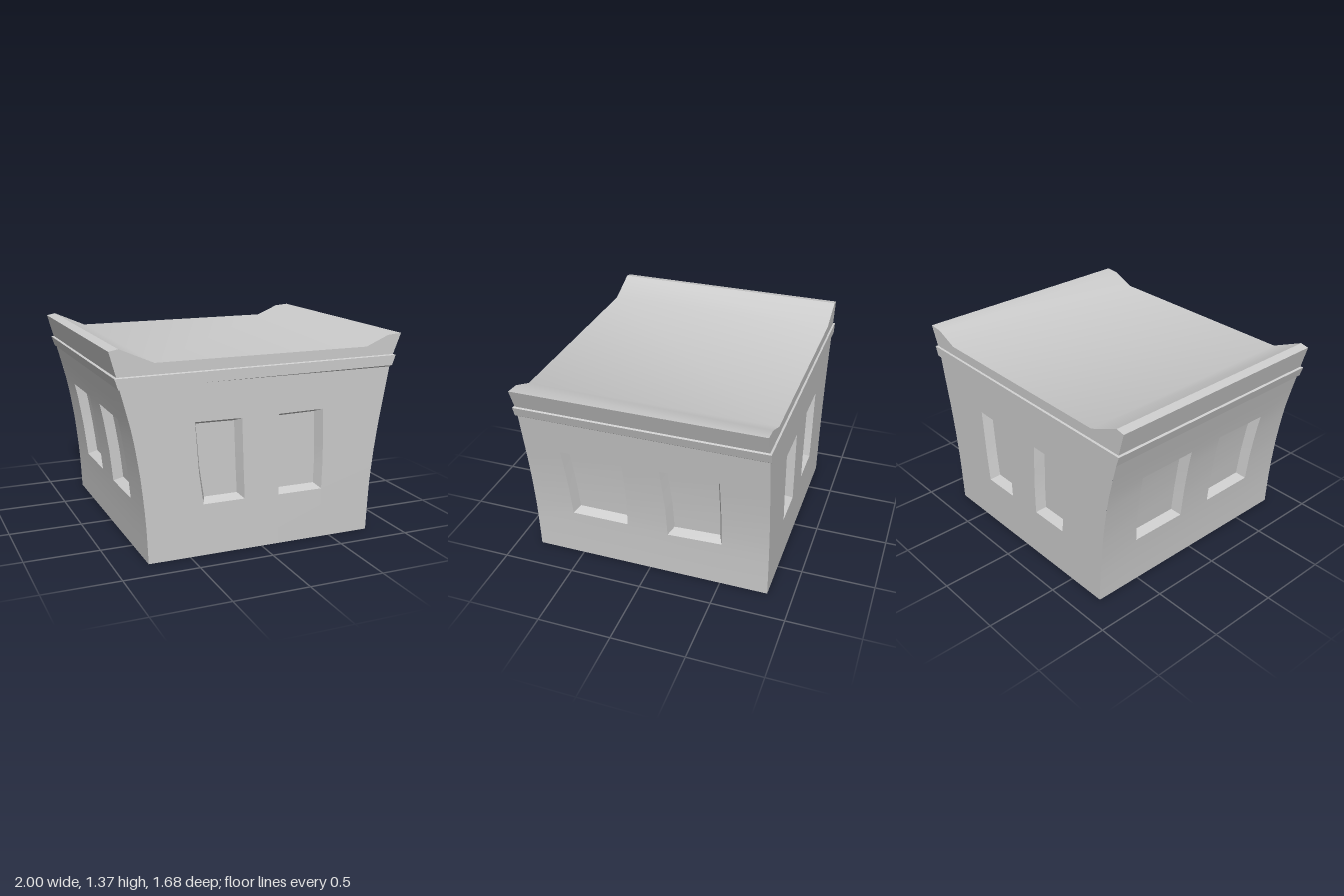
import * as THREE from 'three';
import { toCreasedNormals } from 'three/addons/utils/BufferGeometryUtils.js';

const material = new THREE.MeshStandardMaterial({ color: 0xcccccc, side: THREE.DoubleSide });
const DEPTH = 0.83; // half depth of the building
const WALL_TOP = 1.13;

// Flared side profiles as [y, x]
const RIGHT = [[0, 0.79], [0.2, 0.798], [0.36, 0.807], [0.55, 0.827], [0.75, 0.855], [0.9, 0.882], [WALL_TOP, 0.922]];
const LEFT = [[0, -0.78], [0.2, -0.788], [0.36, -0.8], [0.55, -0.82], [0.75, -0.85], [0.9, -0.88], [WALL_TOP, -0.94]];

// Piecewise linear lookup; each row is [key, ...values]
function sample(rows, key) {
  let i = 0;
  while (i < rows.length - 2 && key > rows[i + 1][0]) i++;
  const a = rows[i], b = rows[i + 1];
  const f = (key - a[0]) / (b[0] - a[0]);
  return a.slice(1).map((v, k) => v + (b[k + 1] - v) * f);
}
const leftX = y => sample(LEFT, y)[0];
const rightX = y => sample(RIGHT, y)[0];

// Collects quads (corners counter-clockwise from outside) into one mesh
function quadMesh(name, quads, crease = 0.5) {
  const pos = [];
  for (const [a, b, c, d] of quads)
    for (const p of [a, b, c, a, c, d]) pos.push(p.x, p.y, p.z);
  const g = new THREE.BufferGeometry();
  g.setAttribute('position', new THREE.Float32BufferAttribute(pos, 3));
  g.computeVertexNormals();
  const mesh = new THREE.Mesh(toCreasedNormals(g, crease), material);
  mesh.name = name;
  return mesh;
}

// Crooked window: [left, right] jambs, each as rows of [t, s, y]
function crookedWindow(l, r, yBottom, yTop) {
  const jamb = (s, k) => [0, 0.4, 1].map((t, i) => [t, s[i], yBottom[k] + (yTop[k] - yBottom[k]) * t]);
  return [jamb(l, 0), jamb(r, 1)];
}

const STEPS = [0, 0.2, 0.4, 0.6, 0.8, 1];

// One wall with two recessed windows. at(s, y, d) places a point, d is depth inwards.
function buildWall(name, at, edgeL, edgeR, windows) {
  const group = new THREE.Group();
  group.name = name;
  const jambs = windows.flat();
  const rowAt = t => {
    const pts = jambs.map(j => sample(j, t));
    const yl = pts[0][1], yr = pts[3][1];
    return [[edgeL(yl), yl], ...pts, [edgeR(yr), yr]];
  };
  const fit = row => { // keeps the outer ends on the flared corners
    row[0][0] = edgeL(row[0][1]);
    row[5][0] = edgeR(row[5][1]);
    return row;
  };
  const rows = [];
  const sill = rowAt(0), head = rowAt(1);
  for (const f of [0, 0.33, 0.67]) rows.push(fit(sill.map(([s, y]) => [s, y * f])));
  for (const t of STEPS) rows.push(rowAt(t));
  for (const f of [0.5, 1]) rows.push(fit(head.map(([s, y]) => [s, y + (WALL_TOP - y) * f])));

  const quads = [];
  for (let r = 0; r < rows.length - 1; r++)
    for (let c = 0; c < 5; c++) {
      const opening = r >= 3 && r < 8 && (c === 1 || c === 3);
      if (opening) continue;
      const a = rows[r], b = rows[r + 1];
      quads.push([a[c], a[c + 1], b[c + 1], b[c]].map(p => at(p[0], p[1], 0)));
    }
  group.add(quadMesh('wallSurface', quads));

  // Recesses: tapering reveals and a set-back pane
  for (const [left, right] of windows) {
    const outer = [], inner = [];
    for (const t of STEPS) {
      const l = sample(left, t), r = sample(right, t);
      const dy = 0.027 * (1 - 2 * t);
      outer.push([at(l[0], l[1], 0), at(r[0], r[1], 0)]);
      inner.push([at(l[0] + 0.028, l[1] + dy, 0.065), at(r[0] - 0.028, r[1] + dy, 0.065)]);
    }
    const reveal = [], pane = [];
    for (let i = 0; i < 5; i++) {
      const [o, p, n, m] = [outer[i], outer[i + 1], inner[i], inner[i + 1]];
      reveal.push([o[0], n[0], m[0], p[0]], [n[1], o[1], p[1], m[1]]);
      pane.push([n[0], n[1], m[1], m[0]]);
    }
    reveal.push([outer[0][0], outer[0][1], inner[0][1], inner[0][0]]);
    reveal.push([inner[5][0], inner[5][1], outer[5][1], outer[5][0]]);
    group.add(quadMesh('windowReveal', reveal), quadMesh('windowPane', pane));
  }
  return group;
}

// Stacked rectangular rings: [left x, right x, half depth, left y, right y]
function ringLoft(name, rings) {
  const corners = ([l, r, z, yl, yr]) => [[l, yl, z], [r, yr, z], [r, yr, -z], [l, yl, -z]].map(p => new THREE.Vector3(...p));
  const quads = [];
  for (let i = 0; i < rings.length - 1; i++) {
    const a = corners(rings[i]), b = corners(rings[i + 1]);
    for (let k = 0; k < 4; k++) quads.push([a[k], a[(k + 1) % 4], b[(k + 1) % 4], b[k]]);
  }
  return quadMesh(name, quads, 0.3);
}

function buildRoof() {
  const group = new THREE.Group();
  group.name = 'roof';
  const top = [[-1, 1.36], [-0.94, 1.372], [-0.72, 1.275], [0.74, 1.275], [0.9, 1.342], [1, 1.35]];
  const base = [[0.945, 1.212], [-0.957, 1.203]];
  const v = ([x, y], z) => new THREE.Vector3(x, y, z);
  const ribbon = (a, b) => [v(a, DEPTH), v(b, DEPTH), v(b, -DEPTH), v(a, -DEPTH)];
  group.add(quadMesh('roofSurface', top.slice(1).map((p, i) => ribbon(top[i], p))));
  group.add(quadMesh('parapetSides', [ribbon(top[5], base[0]), ribbon(base[1], top[0])]));
  // Gable ends
  const outline = new THREE.Shape([...top, ...base].map(p => new THREE.Vector2(...p)));
  for (const sign of [1, -1]) {
    const g = new THREE.ShapeGeometry(outline);
    if (sign < 0) { // reverse the faces so the back end looks outwards
      g.index.array.reverse();
      g.computeVertexNormals();
    }
    const end = new THREE.Mesh(g, material);
    end.name = sign > 0 ? 'frontGable' : 'backGable';
    end.position.z = sign * DEPTH;
    group.add(end);
  }
  return group;
}

export function createModel() {
  const model = new THREE.Group();
  model.name = 'building';
  const V = (x, y, z) => new THREE.Vector3(x, y, z);

  model.add(buildWall('frontWall', (s, y, d) => V(s, y, DEPTH - d), leftX, rightX, [
    crookedWindow([-0.41, -0.44, -0.465], [-0.125, -0.135, -0.147], [0.345, 0.345], [0.886, 0.882]),
    crookedWindow([0.118, 0.114, 0.108], [0.433, 0.438, 0.427], [0.34, 0.34], [0.883, 0.887]),
  ]));
  model.add(buildWall('backWall', (s, y, d) => V(-s, y, d - DEPTH), y => -rightX(y), y => -leftX(y), [
    crookedWindow([-0.41, -0.43, -0.45], [-0.14, -0.145, -0.16], [0.34, 0.34], [0.88, 0.875]),
    crookedWindow([0.125, 0.125, 0.14], [0.41, 0.43, 0.44], [0.345, 0.345], [0.875, 0.872]),
  ]));
  const edgeL = () => -DEPTH, edgeR = () => DEPTH;
  model.add(buildWall('leftWall', (s, y, d) => V(rightX(y) - d, y, -s), edgeL, edgeR, [
    crookedWindow([-0.55, -0.558, -0.575], [-0.15, -0.143, -0.145], [0.345, 0.345], [0.88, 0.888]),
    crookedWindow([0.135, 0.13, 0.11], [0.51, 0.513, 0.51], [0.33, 0.345], [0.88, 0.88]),
  ]));
  model.add(buildWall('rightWall', (s, y, d) => V(leftX(y) + d, y, s), edgeL, edgeR, [
    crookedWindow([-0.53, -0.545, -0.555], [-0.12, -0.12, -0.125], [0.345, 0.345], [0.88, 0.885]),
    crookedWindow([0.14, 0.14, 0.135], [0.54, 0.545, 0.555], [0.34, 0.345], [0.885, 0.88]),
  ]));

  // Projecting band between walls and roof
  model.add(ringLoft('cornice', [
    [-0.94, 0.922, DEPTH, WALL_TOP, WALL_TOP],
    [-0.95, 0.935, 0.842, 1.13, 1.14],
    [-0.972, 0.958, 0.842, 1.198, 1.207],
    [-0.957, 0.945, DEPTH, 1.203, 1.212],
  ]));
  model.add(buildRoof());
  return model;
}
